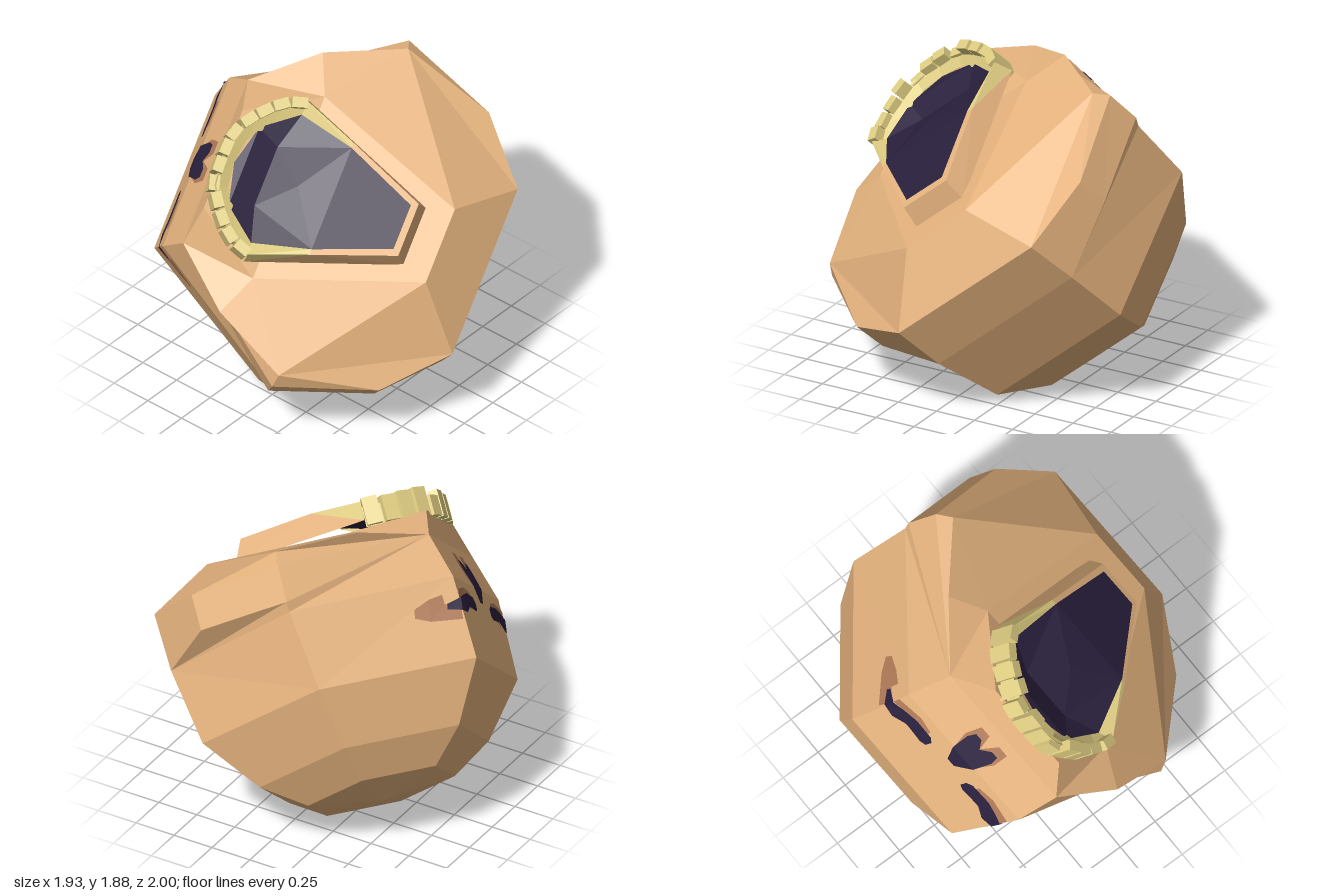
import * as THREE from 'three';

const mat = (name, color, side = THREE.FrontSide) => {
  const m = new THREE.MeshStandardMaterial({ color, side });
  m.name = name;
  return m;
};
const CENTRE = new THREE.Vector3(0, -0.5, 0.33);
const mir = (p) => [-p[0], p[1], p[2]];
const mirrored = (polys) => polys.concat(polys.map((poly) => poly.map(mir)));

// Flat-shaded mesh from small polygons, each turned to face away from the centre
function facets(name, polys, material) {
  const pos = [];
  for (const poly of polys) {
    for (let i = 1; i < poly.length - 1; i++) {
      const [a, b, c] = [poly[0], poly[i], poly[i + 1]].map((p) => new THREE.Vector3(...p));
      const n = b.clone().sub(a).cross(c.clone().sub(a));
      const mid = a.clone().add(b).add(c).divideScalar(3).sub(CENTRE);
      const order = n.dot(mid) < 0 ? [a, c, b] : [a, b, c];
      order.forEach((v) => pos.push(v.x, v.y, v.z));
    }
  }
  const g = new THREE.BufferGeometry();
  g.setAttribute('position', new THREE.Float32BufferAttribute(pos, 3));
  g.computeVertexNormals();
  const mesh = new THREE.Mesh(g, material);
  mesh.name = name;
  return mesh;
}

// Point on the face at (x, y), lifted slightly off the surface
function onFace(x, y, lift) {
  const edge = 0.475 + (-0.215 - y) * 0.0955;
  let z = 1.166;
  if (x > edge) z -= 1.776 * (x - edge);
  if (y < -0.686) z -= (-0.686 - y) * 0.28;
  return [x, y, z + lift];
}
// Quads between neighbouring pairs of points
const strip = (pairs) => pairs.slice(1).map((p, i) => [pairs[i][0], pairs[i][1], p[1], p[0]]);

export function createModel() {
  const bone = mat('bone', 0xe5b37e);
  const ivory = mat('ivory', 0xdfcd82, THREE.DoubleSide);
  const dark = mat('dark hollow', 0x291f3d, THREE.DoubleSide);
  const rim = mat('brown rim', 0xb07a58);
  const skull = new THREE.Group();
  skull.name = 'skull';

  // Cranium: six-sided dome
  const rings = [[0.943, -0.205], [0.686, 0.11], [0.44, 0.27], [0, 0.325]].map(([r, y]) =>
    Array.from({ length: 7 }, (_, i) => [
      r * Math.cos((i * Math.PI) / 3), y, 0.335 + r * 1.015 * Math.sin((i * Math.PI) / 3)]));
  const dome = [];
  for (let k = 0; k < 3; k++)
    for (let i = 0; i < 6; i++)
      dome.push([rings[k][i], rings[k][i + 1], rings[k + 1][i + 1], rings[k + 1][i]]);
  skull.add(facets('cranium', dome, bone));

  // Face, cheeks and underside, described for one half
  const a0 = rings[0][0], a1 = rings[0][1], a2 = rings[0][5];
  const side = [1.03, -0.667, 0.305], front = [0.52, -0.686, 1.166], back = [0.511, -0.652, -0.553];
  const tipTop = [1.061, -0.72, 0.31], tip = [1.067, -0.944, 0.318], tipLow = [1.008, -1.027, 0.314];
  const bulge = [0.85, -0.754, -0.254], bulgeLow = [0.857, -0.963, -0.252];
  const backLow = [0.508, -0.992, -0.562];
  const frontLow = [0.503, -0.96, 1.09], cheekLow = [0.8, -1.033, 0.758];
  const gum = [0.3, -1.14, 1.07], gumSide = [0.56, -1.095, 0.66], base = [0.225, -1.235, -0.25];
  const band = (p, q) => [p, mir(p), mir(q), q];
  skull.add(facets('walls', mirrored([
    [a0, a1, front, side],
    [a0, a2, back, side],
  ]).concat([band(a1, front), band(a2, back)]), bone));
  skull.add(facets('cheeks', mirrored([
    [bulge, tipTop, tip, bulgeLow],
    [bulge, bulgeLow, backLow, back],
    [back, side, tipTop, bulge],
    [side, tipTop, frontLow, front],
    [frontLow, tipTop, tip, tipLow, cheekLow],
  ]), bone));
  skull.add(facets('upperJaw', mirrored([
    [frontLow, gum, gumSide],
    [frontLow, cheekLow, gumSide],
  ]).concat([band(front, frontLow), band(frontLow, gum), band(gum, gumSide)]), bone));
  skull.add(facets('underside', mirrored([
    [cheekLow, tipLow, gumSide],
    [tipLow, gumSide, base],
    [tipLow, base, backLow, bulgeLow],
    [tip, tipLow, bulgeLow],
  ]).concat([band(back, backLow), band(backLow, base), band(base, gumSide)]), bone));

  // Raised palate frame
  const q0 = [0.175, -1.2, -0.1], q1 = [0.5, -1.15, 0.75];
  const r0 = [0.16, -1.33, -0.04], r1 = [0.345, -1.31, 0.43];
  skull.add(facets('palateFrame', mirrored([[q0, q1, r1, r0]])
    .concat([band(q0, r0), band(r0, r1)]), bone));

  // Dark palate plate and hollow vault behind the teeth
  const d0 = [0.135, -1.336, 0], d1 = [0.312, -1.316, 0.43];
  const ridge = [0, -1.265, 0.63], vault = [0.18, -1.16, 0.81];
  const wallSide = [0.395, -1.22, 0.755], wallFront = [0.24, -1.195, 0.95];
  skull.add(facets('palate', mirrored([
    [d1, ridge, vault, wallSide],
    [vault, wallFront, wallSide],
  ]).concat([band(d0, d1), [d1, mir(d1), ridge], [ridge, vault, mir(vault)],
    band(vault, wallFront), [wallFront, mir(wallFront), [0, -1.19, 1.01]]]), dark));

  // Gum band with side wedges
  const arc = [[0.465, 0.745], [0.42, 0.86], [0.31, 0.98], [0.17, 1.07], [0, 1.09]];
  skull.add(facets('gumBand', mirrored([
    ...strip(arc.map(([x, z]) => [[x, -1.115, z], [x, -1.235, z]])),
    ...strip(arc.map(([x, z]) => [[x, -1.235, z], [x * 0.86, -1.19, z - 0.08]])),
    [r1, q1, [0.47, -1.265, 0.75]],
    [d1, wallSide, [0.47, -1.265, 0.75], r1],
  ]), ivory));

  // Uneven row of blocky teeth along the jaw arc
  const curve = new THREE.CatmullRomCurve3(
    arc.concat(arc.slice(0, 4).reverse().map(([x, z]) => [-x, z]))
      .map(([x, z]) => new THREE.Vector3(x, 0, z)));
  const teeth = new THREE.Group();
  teeth.name = 'teeth';
  const heights = [0.16, 0.15, 0.16, 0.17, 0.12, 0.16, 0.15, 0.11, 0.17, 0.15, 0.14, 0.16];
  heights.forEach((h, i) => {
    const t = (i + 0.5) / heights.length;
    const p = curve.getPointAt(t), d = curve.getTangentAt(t);
    const tooth = new THREE.Mesh(new THREE.BoxGeometry(0.09, h, 0.06), ivory);
    tooth.name = 'tooth';
    tooth.position.set(p.x, -1.12 - h / 2, p.z);
    tooth.rotation.y = Math.atan2(-d.z, d.x);
    teeth.add(tooth);
  });
  skull.add(teeth);

  // Slit eyes: [x, low, high] stations, and nose: [y, inner, outer] stations
  const eye = (rows, lift) => mirrored(strip(rows.map(([x, lo, hi]) =>
    [onFace(x, lo, lift), onFace(x, hi, lift)])));
  const nose = (rows, lift) => mirrored(strip(rows.map(([y, i, o]) =>
    [onFace(i, y, lift), onFace(o, y, lift)])));
  skull.add(facets('eyeRims', eye([[0.23, -0.62, -0.53], [0.34, -0.64, -0.515],
    [0.506, -0.61, -0.435], [0.6, -0.58, -0.455], [0.645, -0.54, -0.49]], 0.005), rim));
  skull.add(facets('eyes', eye([[0.165, -0.575, -0.53], [0.2, -0.6, -0.515], [0.34, -0.605, -0.525],
    [0.425, -0.585, -0.48], [0.506, -0.56, -0.485], [0.55, -0.535, -0.505]], 0.01), dark));
  skull.add(facets('noseRim', nose([[-0.686, 0, 0.09],
    [-0.8, 0, 0.135], [-0.9, 0.045, 0.12]], 0.005), rim));
  skull.add(facets('nose', nose([[-0.59, 0, 0.03], [-0.686, 0, 0.095],
    [-0.8, 0, 0.115], [-0.85, 0.05, 0.1]], 0.01), dark));

  // Lay the skull tilted on its crown
  const left = new THREE.Vector3(0.758, 0.63, -0.167).normalize();
  const up = new THREE.Vector3(0.449, -0.691, -0.567).normalize();
  const fwd = left.clone().cross(up).normalize();
  up.copy(fwd).cross(left);
  skull.quaternion.setFromRotationMatrix(new THREE.Matrix4().makeBasis(left, up, fwd));
  skull.position.copy(left).multiplyScalar(0.611);

  const model = new THREE.Group();
  model.name = 'model';
  model.add(skull);
  return model;
}
